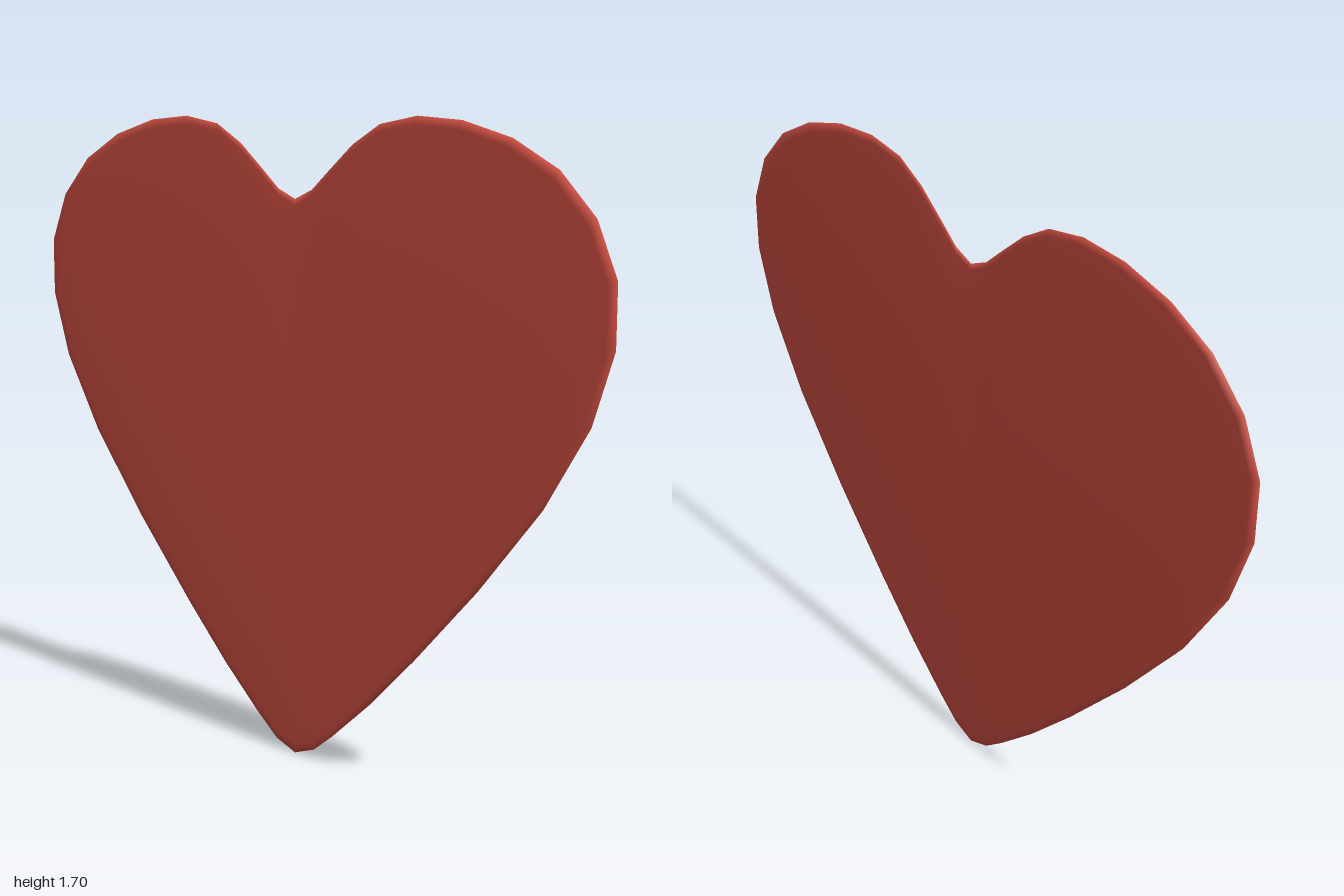
import * as THREE from 'three';
import { mergeVertices } from 'three/addons/utils/BufferGeometryUtils.js';

// Half of the heart outline as [z, y], from the notch down to the tip
const HALF = [
  [0, 1.485], [0.06, 1.51], [0.12, 1.56], [0.2, 1.625], [0.29, 1.675],
  [0.41, 1.695], [0.55, 1.685], [0.7, 1.645], [0.835, 1.575], [0.94, 1.47],
  [1, 1.335], [1, 1.18], [0.94, 1], [0.81, 0.79], [0.62, 0.56],
  [0.42, 0.345], [0.27, 0.195], [0.14, 0.08], [0.07, 0.025], [0, 0],
];
const CENTRE_Y = 0.87;
const HALF_THICKNESS = 0.009;

// A flattened sphere whose rings follow the heart outline
function heartGeometry() {
  const last = HALF.length - 1;
  const columns = last * 2;
  const rows = 14;
  const geometry = new THREE.SphereGeometry(1, columns, rows);
  const position = geometry.attributes.position;
  for (let row = 0, i = 0; row <= rows; row++) {
    const angle = (row / rows) * Math.PI;
    const scale = Math.sin(angle);
    for (let column = 0; column <= columns; column++, i++) {
      const [z, y] = HALF[Math.abs(column - last)];
      const side = column < last ? -1 : 1;
      position.setXYZ(
        i,
        HALF_THICKNESS * Math.cos(angle),
        CENTRE_Y + (y - CENTRE_Y) * scale,
        side * z * scale
      );
    }
  }
  // Weld the seam and poles so the shading is smooth all round
  geometry.deleteAttribute('uv');
  geometry.deleteAttribute('normal');
  const welded = mergeVertices(geometry);
  welded.computeVertexNormals();
  return welded;
}

export function createModel() {
  const group = new THREE.Group();
  group.name = 'heart';
  const heart = new THREE.Mesh(
    heartGeometry(),
    new THREE.MeshStandardMaterial({ color: 0xc94c40 })
  );
  heart.name = 'heartBody';
  group.add(heart);
  return group;
}
